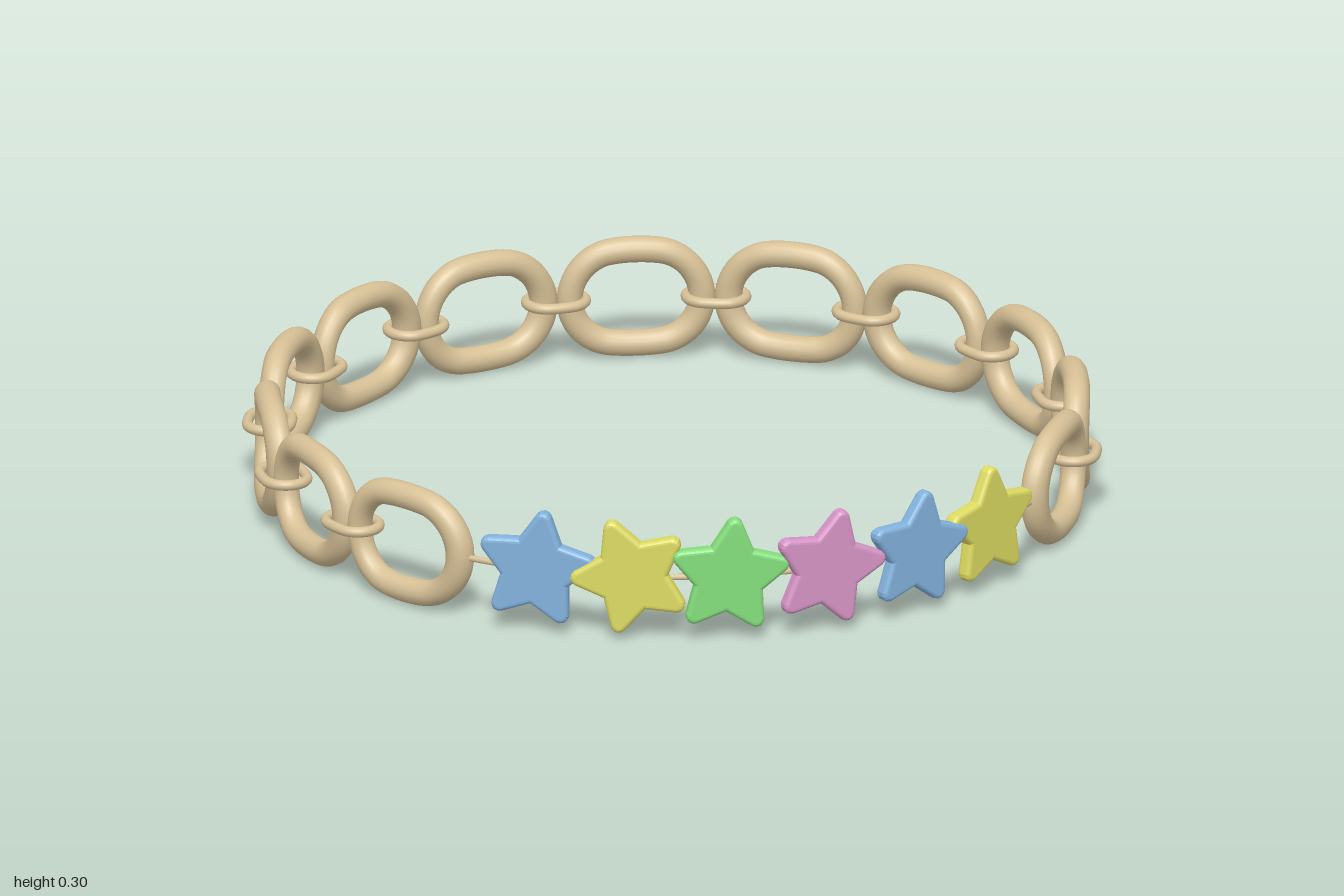
import * as THREE from 'three';

const MID = 0.148; // height of the bracelet's centre line
const RADIUS = 0.94;
const rad = THREE.MathUtils.degToRad;

const material = (color) => new THREE.MeshStandardMaterial({ color });

// Closed oval ring in the XY plane, given by its outer length and height
function ovalRing(length, height, tube, sides) {
  const r = height / 2 - tube;
  const straight = length / 2 - tube - r;
  const points = [];
  for (const side of [1, -1]) {
    for (let i = 0; i <= 8; i++) {
      const a = -Math.PI / 2 + (i / 8) * Math.PI;
      points.push(new THREE.Vector3(side * (straight + r * Math.cos(a)), side * r * Math.sin(a), 0));
    }
  }
  const path = new THREE.CatmullRomCurve3(points, true);
  return new THREE.TubeGeometry(path, 72, tube, sides, true);
}

// Bend a link gently so that it follows the round of the bracelet
function bend(geometry) {
  const p = geometry.attributes.position;
  for (let i = 0; i < p.count; i++) p.setZ(i, p.getZ(i) + p.getX(i) ** 2 / (2 * RADIUS));
  return geometry;
}

// Chunky five-pointed star with blunt tips and soft edges
function starGeometry() {
  const outer = 0.133, inner = 0.073, bevel = 0.011;
  const shape = new THREE.Shape();
  for (let i = 0; i < 5; i++) {
    const tip = Math.PI / 2 + (i * Math.PI * 2) / 5;
    const at = (r, a) => [r * Math.cos(a), r * Math.sin(a)];
    const start = at(outer * 0.96, tip - 0.06);
    if (i === 0) shape.moveTo(...start);
    else shape.lineTo(...start);
    shape.quadraticCurveTo(...at(outer * 1.03, tip), ...at(outer * 0.96, tip + 0.06));
    shape.lineTo(...at(inner, tip + Math.PI / 5));
  }
  shape.closePath();
  const geometry = new THREE.ExtrudeGeometry(shape, {
    depth: 0.014, bevelEnabled: true, bevelThickness: bevel, bevelSize: bevel,
    bevelSegments: 4, curveSegments: 4,
  });
  geometry.translate(0, 0, -0.007);
  return geometry;
}

export function createModel() {
  const model = new THREE.Group();
  const metal = material(0xd6c096);

  // Place a part on the ring; the angle runs from the back towards +x
  function placeOnRing(name, geometry, degrees) {
    const a = rad(degrees);
    const mesh = new THREE.Mesh(geometry, metal);
    mesh.name = name;
    mesh.position.set(RADIUS * Math.sin(a), MID, -RADIUS * Math.cos(a));
    mesh.rotation.y = -a;
    model.add(mesh);
  }

  // Flat small links, with upright large links between and beyond them
  const largeLink = bend(ovalRing(0.37, 0.29, 0.031, 16));
  const smallLink = ovalRing(0.165, 0.125, 0.0125, 12).rotateX(Math.PI / 2);
  const joints = [-117.6, -95.9, -73.6, -51.2, -29, -6.4, 16.5, 38.9, 61.3, 83.9, 106.6];
  for (const angle of joints) placeOnRing('connectorLink', smallLink, angle);
  const ends = [-139.8, ...joints, 127.8];
  for (let i = 1; i < ends.length; i++) {
    placeOnRing('largeLink', largeLink, (ends[i - 1] + ends[i]) / 2);
  }

  // Thin wire across the front, behind the stars
  const wirePoints = [];
  for (let i = 0; i <= 16; i++) {
    const a = rad(-40.5 + (i / 16) * 92.5);
    wirePoints.push(new THREE.Vector3(0.941 * Math.sin(a), MID, 0.941 * Math.cos(a)));
  }
  const wirePath = new THREE.CatmullRomCurve3(wirePoints);
  const wire = new THREE.Mesh(new THREE.TubeGeometry(wirePath, 64, 0.0075, 10), metal);
  wire.name = 'wire';
  model.add(wire);

  // Star beads: x, z, turn about y, spin in the star's own plane, colour
  const blue = material(0x82b2dc), yellow = material(0xdcda62);
  const green = material(0x84de7c), pink = material(0xd694c6);
  const star = starGeometry();
  const beads = [
    [-0.472, 0.837, -22, -8, blue],
    [-0.262, 0.923, -16, 22, yellow],
    [-0.04, 0.965, -2.5, -6, green],
    [0.195, 0.952, 14, -15, pink],
    [0.42, 0.872, 28, -10, blue],
    [0.615, 0.735, 38, 0, yellow],
  ];
  for (const [x, z, turn, spin, color] of beads) {
    const mesh = new THREE.Mesh(star, color);
    mesh.name = 'starBead';
    mesh.position.set(x, 0.157, z);
    mesh.rotation.set(0, rad(turn), rad(spin));
    model.add(mesh);
  }

  return model;
}
